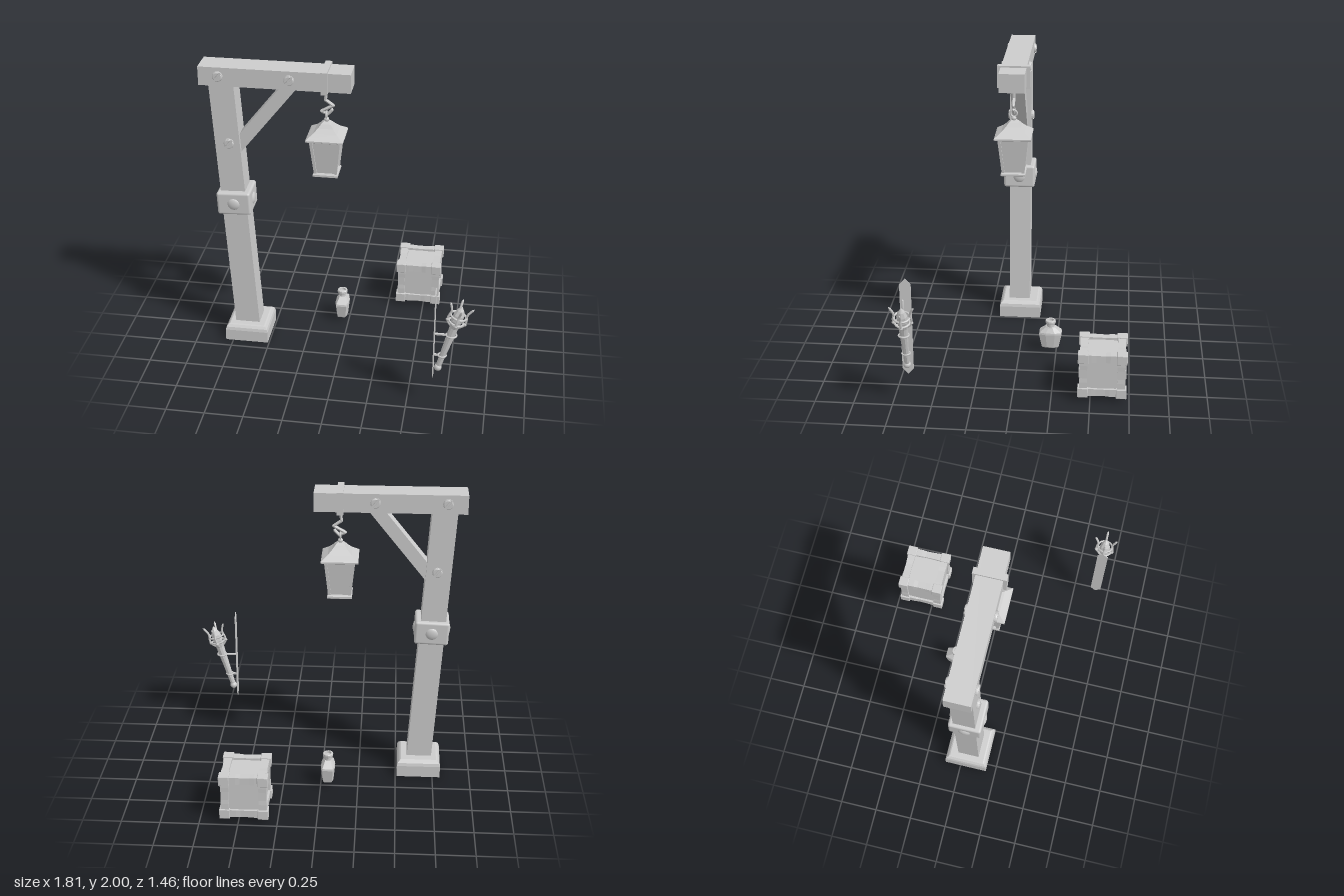
import * as THREE from 'three';
import { RoundedBoxGeometry } from 'three/addons/geometries/RoundedBoxGeometry.js';

const flat = new THREE.MeshStandardMaterial({ color: 0xcccccc, flatShading: true });
const smooth = new THREE.MeshStandardMaterial({ color: 0xcccccc });
const V = (x, y, z) => new THREE.Vector3(x, y, z);
const SQUARE = [[1, 1], [-1, 1], [-1, -1], [1, -1]];

function add(parent, name, geometry, x = 0, y = 0, z = 0, material = flat) {
  const mesh = new THREE.Mesh(geometry, material);
  mesh.name = name;
  mesh.position.set(x, y, z);
  parent.add(mesh);
  return mesh;
}

function group(parent, name, x, y, z) {
  const g = new THREE.Group();
  g.name = name;
  g.position.set(x, y, z);
  parent.add(g);
  return g;
}

// Capped solid through cross-sections [y, halfX, halfZ, centreX, centreZ]
function loft(rings, outline = SQUARE) {
  const n = outline.length, pos = [];
  const pt = ([y, hx, hz = hx, cx = 0, cz = 0], i) => {
    const [u, v] = outline[i % n];
    return [cx + u * hx, y, cz + v * hz];
  };
  for (let r = 0; r < rings.length - 1; r++) {
    const lo = rings[r], hi = rings[r + 1];
    for (let i = 0; i < n; i++) {
      pos.push(...pt(lo, i), ...pt(hi, i), ...pt(lo, i + 1));
      pos.push(...pt(hi, i), ...pt(hi, i + 1), ...pt(lo, i + 1));
    }
  }
  const bottom = rings[0], top = rings[rings.length - 1];
  for (let i = 1; i < n - 1; i++) {
    pos.push(...pt(bottom, 0), ...pt(bottom, i), ...pt(bottom, i + 1));
    pos.push(...pt(top, 0), ...pt(top, i + 1), ...pt(top, i));
  }
  const geometry = new THREE.BufferGeometry();
  geometry.setAttribute('position', new THREE.Float32BufferAttribute(pos, 3));
  geometry.computeVertexNormals();
  return geometry;
}

// Outline in x/y given a depth centred on z = 0
function slab(points, depth) {
  const shape = new THREE.Shape(points.map(([x, y]) => new THREE.Vector2(x, y)));
  return new THREE.ExtrudeGeometry(shape, { depth, bevelEnabled: false }).translate(0, 0, -depth / 2);
}

// Slotted screw head: two bevelled half discs with a gap between them
function screw(parent, x, y, z, side) {
  const g = group(parent, 'screw', x, y, z);
  if (side < 0) g.rotation.y = Math.PI;
  add(g, 'screwBase', new THREE.CylinderGeometry(0.034, 0.034, 0.012, 16).rotateX(Math.PI / 2), 0, 0, 0.002);
  const half = new THREE.Shape();
  half.absarc(0, 0, 0.026, 0.4, Math.PI - 0.4);
  half.closePath();
  const geo = new THREE.ExtrudeGeometry(half, { depth: 0.008, bevelSize: 0.006, bevelThickness: 0.008, bevelSegments: 2, curveSegments: 10 });
  for (const turn of [0, Math.PI]) add(g, 'screwHalf', geo).rotation.z = turn + 0.9;
}

function makePost(root) {
  const g = group(root, 'lampPost', 0, 0, 0.045);
  add(g, 'base', loft([[0, 0.146], [0.08, 0.146], [0.1, 0.14], [0.115, 0.127], [0.12, 0.118]]), -0.655, 0, -0.007);
  add(g, 'post', slab([[-0.74, 0.11], [-0.575, 0.11], [-0.685, 1.88], [-0.845, 1.88]], 0.145));
  add(g, 'beam', new THREE.BoxGeometry(0.96, 0.123, 0.165), -0.425, 1.927, 0);
  add(g, 'brace', slab([[-0.7, 1.35], [-0.285, 1.868], [-0.39, 1.868], [-0.7, 1.483]], 0.095));
  add(g, 'strap', new THREE.BoxGeometry(0.042, 0.147, 0.208), -0.11, 1.9265, 0);

  for (const side of [1, -1]) {
    screw(g, -0.78, 1.93, side * 0.083, side);
    screw(g, -0.33, 1.93, side * 0.083, side);
    screw(g, -0.73, 1.47, side * 0.073, side);
  }

  // Collar with a rivet on each side
  const collar = group(g, 'collar', -0.71, 1.05, 0.005);
  collar.rotation.z = 0.04;
  add(collar, 'collarBlock', new RoundedBoxGeometry(0.222, 0.157, 0.214, 2, 0.016), 0, 0, 0, smooth);
  for (let i = 0; i < 4; i++) {
    const a = i * Math.PI / 2;
    const rivet = add(collar, 'rivet', new THREE.SphereGeometry(0.043, 16, 10), Math.sin(a) * 0.104, 0, Math.cos(a) * 0.1, smooth);
    rivet.scale.z = 0.45;
    rivet.rotation.y = a;
  }
}

function makeLantern(root) {
  const g = group(root, 'lantern', -0.11, 0, 0.045);
  add(g, 'bottomPlate', loft([[1.272, 0.072], [1.277, 0.08], [1.29, 0.08], [1.298, 0.074]]));
  add(g, 'panes', loft([[1.29, 0.062], [1.535, 0.088]]));
  for (const [u, v] of SQUARE)
    add(g, 'cornerPost', loft([[1.29, 0.009, 0.009, u * 0.064, v * 0.064], [1.54, 0.01, 0.01, u * 0.09, v * 0.09]]));
  add(g, 'roof', loft([[1.527, 0.108], [1.533, 0.119], [1.543, 0.119], [1.552, 0.108],
    [1.575, 0.076], [1.602, 0.049], [1.625, 0.031], [1.638, 0.016]]));
  add(g, 'knob', new THREE.SphereGeometry(0.017, 10, 8), 0, 1.648, 0, smooth);
  add(g, 'ring', new THREE.TorusGeometry(0.021, 0.006, 6, 14).rotateY(Math.PI / 2), 0, 1.681, 0, smooth);

  // Bent hook made of straight links
  const path = new THREE.CurvePath();
  const bends = [[0, 1.86], [-0.006, 1.78], [0.043, 1.745], [-0.032, 1.703], [0.008, 1.685], [0.035, 1.715]].map(([x, y]) => V(x, y, 0));
  for (let i = 0; i < bends.length - 1; i++) path.add(new THREE.LineCurve3(bends[i], bends[i + 1]));
  for (let i = 0; i < bends.length - 1; i++) {
    add(g, 'hookLink', new THREE.TubeGeometry(path.curves[i], 1, 0.0105, 6));
    add(g, 'hookBend', new THREE.SphereGeometry(0.0105, 6, 5), ...bends[i + 1].toArray());
  }
}

function makeCrate(root) {
  const g = group(root, 'crate', 0.4625, 0.187, -0.575);
  add(g, 'panels', new THREE.BoxGeometry(0.262, 0.262, 0.262));
  const ends = [-1, 1];
  // Rails are a little worn towards their middle
  const rail = loft([[-0.12, 0.026], [-0.05, 0.026], [-0.02, 0.0235], [0.04, 0.0245], [0.07, 0.026], [0.12, 0.026]]);
  for (const a of ends) for (const b of ends) {
    add(g, 'uprightRail', rail, a * 0.121, 0, b * 0.121);
    add(g, 'sideRail', rail, a * 0.121, b * 0.121, 0).rotation.x = Math.PI / 2;
    add(g, 'crossRail', rail, 0, a * 0.121, b * 0.121).rotation.z = Math.PI / 2;
    for (const c of ends)
      add(g, 'corner', new RoundedBoxGeometry(0.068, 0.066, 0.068, 1, 0.004), a * 0.123, b * 0.122, c * 0.123);
  }
}

function makeBottle(root) {
  const g = group(root, 'bottle', -0.048, 0, -0.21);
  const octagon = [[1, 0.4], [0.75, 1], [-0.75, 1], [-1, 0.4], [-1, -0.4], [-0.75, -1], [0.75, -1], [1, -0.4]];
  add(g, 'body', loft([[0.03, 0.033, 0.053], [0.037, 0.037, 0.058], [0.133, 0.047, 0.077],
    [0.146, 0.045, 0.074], [0.178, 0.027, 0.036], [0.184, 0.025, 0.028]], octagon));
  const neck = [[0, 0.18], [0.025, 0.18], [0.025, 0.203], [0.033, 0.206], [0.035, 0.212], [0.035, 0.226],
    [0.032, 0.23], [0.022, 0.23], [0.02, 0.215], [0, 0.215]];
  add(g, 'neck', new THREE.LatheGeometry(neck.map(([r, y]) => new THREE.Vector2(r, y)), 14));
}

function makeTorch(root) {
  const g = group(root, 'wallTorch', 0, 0, 0.655);
  const plate = slab([[0, 0.18], [0.036, 0.22], [0.036, 0.81], [0, 0.85], [-0.036, 0.81], [-0.036, 0.22]], 0.005);
  add(g, 'wallPlate', plate, 0.66).rotation.y = Math.PI / 2;

  // Horizontal holders: a ring on a short arm
  for (const [x, y, r] of [[0.714, 0.358, 0.025], [0.766, 0.514, 0.032]]) {
    add(g, 'holderRing', new THREE.TorusGeometry(r, 0.006, 6, 16).rotateX(Math.PI / 2), x, y, 0, smooth);
    const length = x - r - 0.66;
    add(g, 'holderArm', new THREE.BoxGeometry(length, 0.01, 0.014), 0.66 + length / 2, y, 0);
  }

  const torch = group(g, 'torch', 0.69, 0.265, 0);
  torch.rotation.z = -0.28;
  add(torch, 'pommel', new THREE.SphereGeometry(0.025, 12, 8), 0, 0, 0, smooth);
  add(torch, 'handle', new THREE.CylinderGeometry(0.029, 0.017, 0.32, 10), 0, 0.175, 0);
  add(torch, 'handleCap', new THREE.CylinderGeometry(0.036, 0.03, 0.025, 10), 0, 0.335, 0);
  const core = [[0, 0.34], [0.03, 0.345], [0.036, 0.375], [0.034, 0.42], [0.022, 0.455], [0, 0.487]];
  add(torch, 'head', new THREE.LatheGeometry(core.map(([r, y]) => new THREE.Vector2(r, y)), 8));
  for (const [y, r] of [[0.365, 0.046], [0.41, 0.05]])
    add(torch, 'basketBand', new THREE.TorusGeometry(r, 0.007, 6, 16).rotateX(Math.PI / 2), 0, y, 0, smooth);

  // Curved prongs around the head, each with a stud at the band
  const prong = new THREE.CatmullRomCurve3([V(0.028, 0.33, 0), V(0.055, 0.36, 0), V(0.056, 0.4, 0), V(0.05, 0.43, 0), V(0.058, 0.455, 0), V(0.071, 0.48, 0)]);
  for (let i = 0; i < 4; i++) {
    const side = group(torch, 'prong', 0, 0, 0);
    side.rotation.y = i * Math.PI / 2;
    add(side, 'prongBar', new THREE.TubeGeometry(prong, 12, 0.0075, 6), 0, 0, 0, smooth);
    add(side, 'prongTip', new THREE.ConeGeometry(0.0075, 0.016, 6), 0.074, 0.485, 0).rotation.z = -0.5;
    add(side, 'stud', new THREE.SphereGeometry(0.012, 8, 6), 0.056, 0.365, 0, smooth);
  }
}

export function createModel() {
  const root = new THREE.Group();
  root.name = 'lampPostSet';
  makePost(root);
  makeLantern(root);
  makeCrate(root);
  makeBottle(root);
  makeTorch(root);
  return root;
}
